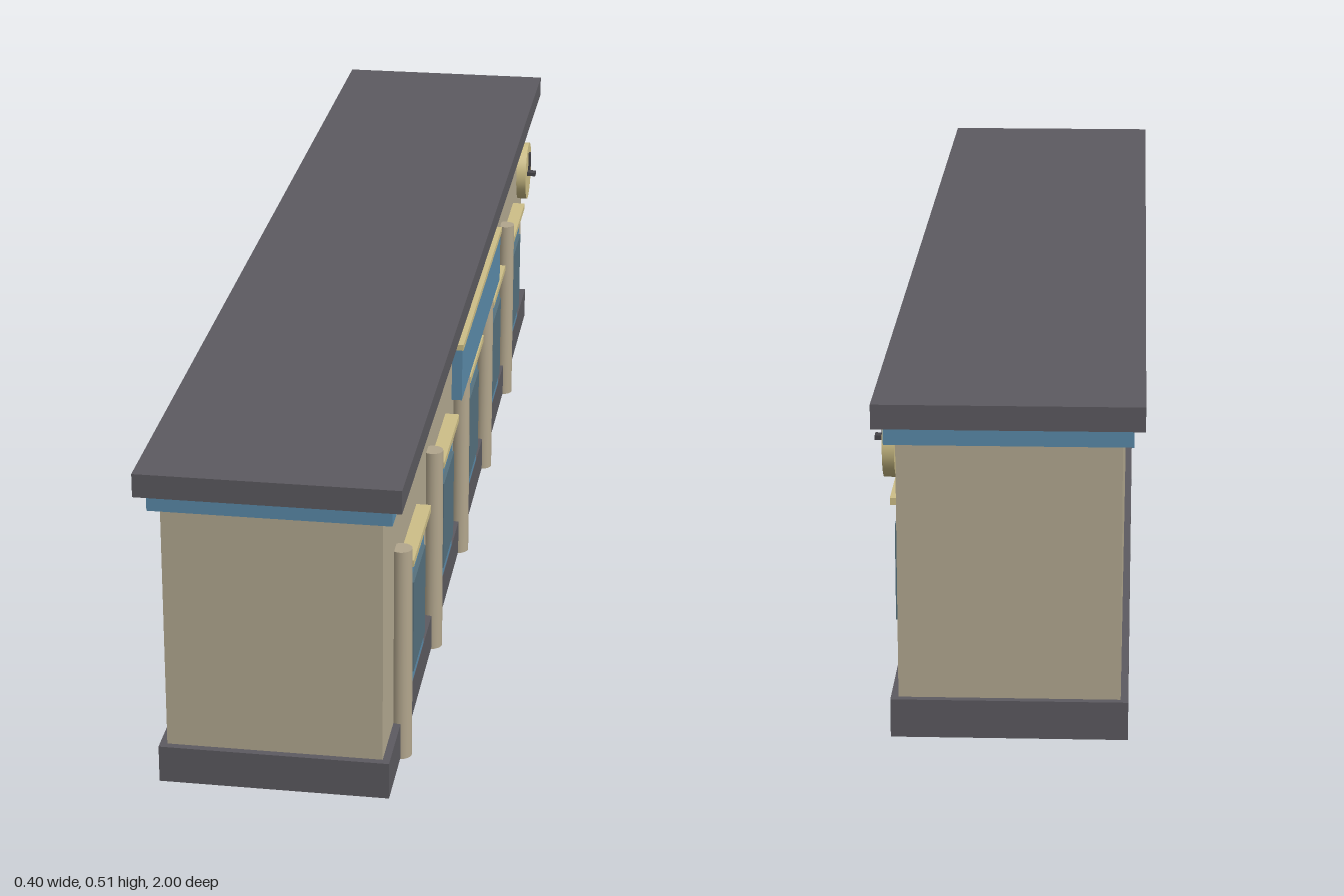
import * as THREE from 'three';

const mat = (name, color) => {
  const m = new THREE.MeshStandardMaterial({ color });
  m.name = name;
  return m;
};

export function createModel() {
  const wall = mat('sand wall', 0xb5ab92);
  const stone = mat('column stone', 0xb3a78e);
  const dark = mat('charcoal', 0x5d5b61);
  const blue = mat('blue trim', 0x5b8cab);
  const cream = mat('cream trim', 0xcfc088);
  const glass = mat('window glass', 0x57727f);
  const black = mat('clock hand', 0x47454a);

  const model = new THREE.Group();
  model.name = 'stationBuilding';

  // Box given by its minimum and maximum on each axis
  const box = (name, material, [x0, x1], [y0, y1], [z0, z1], parent = model) => {
    const mesh = new THREE.Mesh(new THREE.BoxGeometry(x1 - x0, y1 - y0, z1 - z0), material);
    mesh.position.set((x0 + x1) / 2, (y0 + y1) / 2, (z0 + z1) / 2);
    mesh.name = name;
    parent.add(mesh);
    return mesh;
  };

  // Main body, plinth, cornice and flat roof
  box('walls', wall, [-0.17, 0.152], [0, 0.46], [-0.967, 0.967]);
  box('plinth', dark, [-0.181, 0.163], [0.002, 0.06], [-0.978, 0.978]);
  box('cornice', blue, [-0.186, 0.168], [0.447, 0.476], [-0.983, 0.983]);
  box('roof', dark, [-0.202, 0.184], [0.475, 0.511], [-1, 1]);

  // Five bays along the platform side, each with a column and a window
  for (let i = 0; i < 5; i++) {
    const bay = new THREE.Group();
    bay.name = 'bay' + (i + 1);
    bay.position.z = 0.711 - i * 0.3545;
    model.add(bay);

    const column = new THREE.Mesh(new THREE.CylinderGeometry(0.0165, 0.0175, 0.345, 16), stone);
    column.position.set(0.161, 0.1725, 0.131);
    column.name = 'column';
    bay.add(column);

    box('windowFrame', blue, [0.15, 0.165], [0.07, 0.3], [-0.092, 0.092], bay);
    box('windowPane', glass, [0.16, 0.171], [0.105, 0.256], [-0.065, 0.065], bay);
    box('windowHood', cream, [0.15, 0.175], [0.298, 0.309], [-0.097, 0.097], bay);
  }

  // Blank sign board with a cream cap
  box('signBoard', blue, [0.165, 0.182], [0.345, 0.435], [-0.282, 0.284]);
  box('signCap', cream, [0.164, 0.184], [0.434, 0.444], [-0.285, 0.287]);

  // Round clock with two hands, the short one standing off the face
  const clock = new THREE.Mesh(new THREE.CylinderGeometry(0.055, 0.055, 0.018, 32), cream);
  clock.rotation.z = -Math.PI / 2;
  clock.position.set(0.175, 0.389, -0.772);
  clock.name = 'clockFace';
  model.add(clock);
  box('minuteHand', black, [0.183, 0.188], [0.379, 0.425], [-0.779, -0.769]);
  box('hourHand', black, [0.183, 0.2], [0.386, 0.393], [-0.764, -0.748]);

  return model;
}
